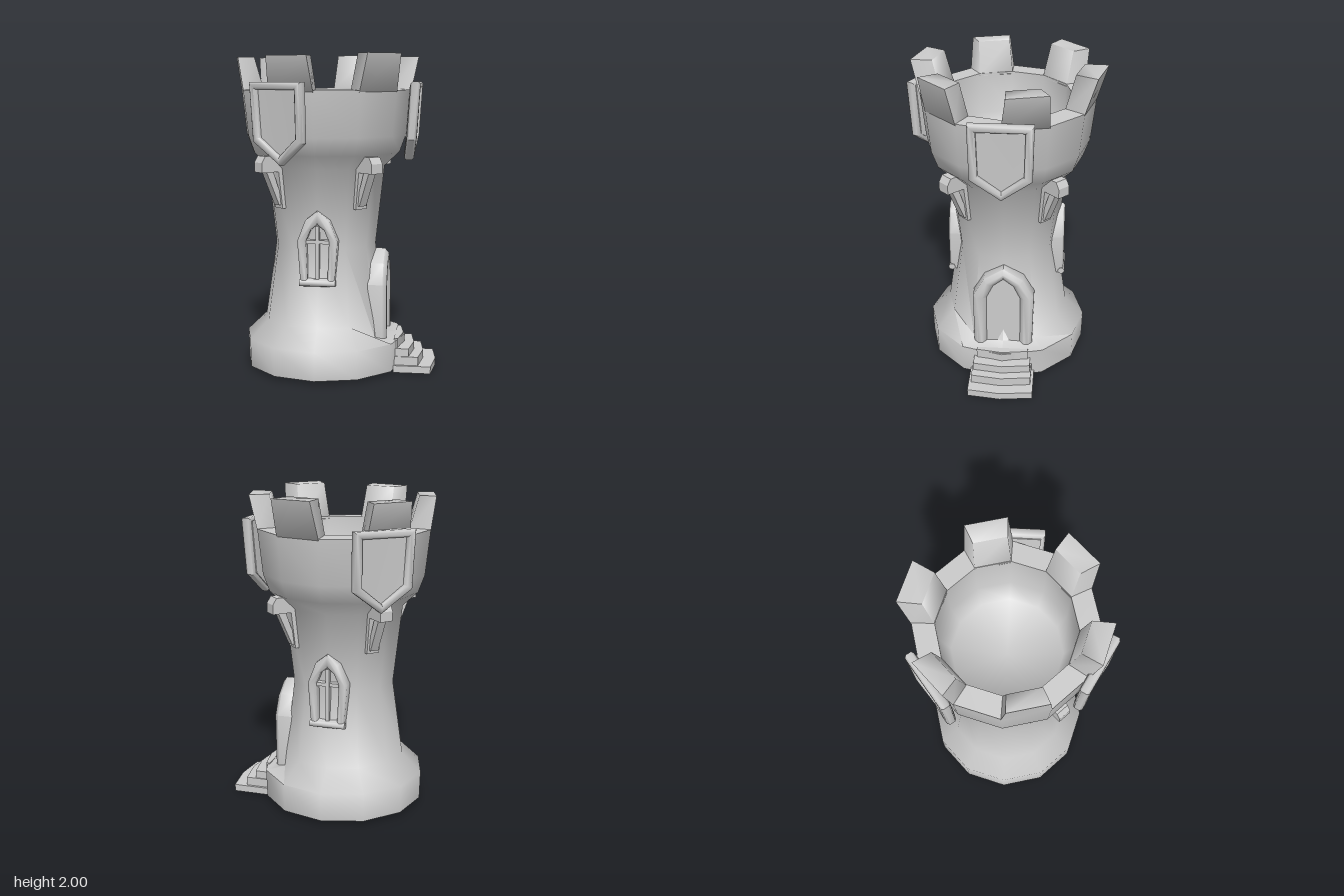
import * as THREE from 'three';
import { toCreasedNormals } from 'three/addons/utils/BufferGeometryUtils.js';

// Double sided because the tower shell is open underneath
const material = new THREE.MeshStandardMaterial({ color: 0xcccccc, side: THREE.DoubleSide });
const rad = THREE.MathUtils.degToRad;

function mesh(name, geometry, crease = 50) {
  const m = new THREE.Mesh(toCreasedNormals(geometry, rad(crease)), material);
  m.name = name;
  return m;
}

// Group whose local +z points outwards from the tower at the given angle
function around(name, degrees, ...parts) {
  const g = new THREE.Group();
  g.name = name;
  g.rotation.y = rad(degrees);
  g.add(...parts);
  return g;
}

// Closed symmetric outline from its right half, listed bottom to top
function symmetric(half) {
  const left = half.filter(([x]) => x > 0).map(([x, y]) => [-x, y]).reverse();
  return [...half, ...left].map(([x, y]) => new THREE.Vector2(x, y));
}

// Bevelled slab from depth z0 to z1, with an optional opening
function slab(outer, inner, z0, z1, bevel) {
  const shape = new THREE.Shape(symmetric(outer));
  if (inner) shape.holes.push(new THREE.Path(symmetric(inner)));
  const g = new THREE.ExtrudeGeometry(shape, {
    depth: z1 - z0 - 2 * bevel, bevelEnabled: bevel > 0, bevelSize: bevel,
    bevelThickness: bevel, bevelOffset: -bevel, bevelSegments: 1,
  });
  return g.translate(0, 0, z0 + bevel);
}

function box(w, h, d, x, y, z) {
  return new THREE.BoxGeometry(w, h, d).translate(x, y, z);
}

function moveVertices(geometry, rule) {
  const p = geometry.attributes.position;
  const v = new THREE.Vector3();
  for (let i = 0; i < p.count; i++) {
    rule(v.fromBufferAttribute(p, i));
    p.setXYZ(i, v.x, v.y, v.z);
  }
  return geometry;
}

// Twelve-sided tower shell, with its parapet rim and bowl-shaped top
function body() {
  const profile = [
    [0.515, 0.02], [0.52, 0.2], [0.395, 0.32], [0.325, 0.8],
    [0.38, 1.3], [0.475, 1.39], [0.515, 1.5], [0.545, 1.78],
    [0.41, 1.785], [0.4, 1.52], [0.34, 1.4], [0, 1.36],
  ].map(([r, y]) => new THREE.Vector2(r, y));
  const g = new THREE.LatheGeometry(profile, 12);
  // level the flare in front of the door
  moveVertices(g, (v) => {
    if (v.x > 0.33 && Math.abs(v.y - 0.32) < 0.01) v.y = 0.22;
  });
  return mesh('towerBody', g, 75);
}

// Tapered merlon: a box wrapped around the parapet
function merlon(degrees, top, reach) {
  const g = moveVertices(new THREE.BoxGeometry(1, 1, 1), (v) => {
    const high = v.y > 0;
    const a = rad(degrees + Math.sign(v.x) * (high ? 12.5 : 15.5));
    const r = v.z > 0 ? (high ? reach : 0.545) : (high ? 0.465 : 0.41);
    v.set(r * Math.sin(a), high ? top : 1.77, r * Math.cos(a));
  });
  return mesh('merlon', g, 80);
}

// Shield: plate and raised rim, lower part bent towards the wall
function shield(degrees, shiftX, shiftZ) {
  const place = (g) => moveVertices(g, (v) => {
    v.x += shiftX;
    v.z += shiftZ - 0.18 * Math.max(0, 1.6 - v.y);
  });
  const outer = [[0, 1.335], [0.185, 1.475], [0.192, 1.83]];
  const inner = [[0, 1.39], [0.135, 1.5], [0.142, 1.785]];
  const plate = [[0, 1.36], [0.16, 1.485], [0.167, 1.81]];
  return around('shield', degrees,
    mesh('shieldRim', place(slab(outer, inner, 0.55, 0.61, 0.012))),
    mesh('shieldPlate', place(slab(plate, null, 0.545, 0.58, 0))));
}

// Pointed window with mullion, crossbar and sill
function windowUnit(degrees) {
  const outer = [[0.105, 0.585], [0.125, 0.86], [0.075, 0.99], [0, 1.05]];
  const inner = [[0.062, 0.625], [0.072, 0.86], [0.042, 0.93], [0, 0.965]];
  const sill = new THREE.CylinderGeometry(0.022, 0.022, 0.225, 8);
  return around('window', degrees,
    mesh('windowFrame', slab(outer, inner, 0.27, 0.375, 0.012)),
    mesh('windowMullion', box(0.022, 0.35, 0.06, 0, 0.78, 0.335)),
    mesh('windowCrossbar', box(0.15, 0.022, 0.05, 0, 0.855, 0.335)),
    mesh('windowSill', sill.rotateZ(Math.PI / 2).translate(0, 0.6, 0.362)));
}

// Arched door with its frame, footed inside the base
function door(degrees) {
  const outer = [[0.185, 0.1], [0.195, 0.56], [0.125, 0.685], [0, 0.765]];
  const inner = [[0.108, 0.19], [0.108, 0.55], [0.065, 0.64], [0, 0.69]];
  const panel = [[0.14, 0.15], [0.14, 0.56], [0.09, 0.66], [0, 0.72]];
  return around('door', degrees,
    mesh('doorFrame', slab(outer, inner, 0.27, 0.412, 0.025)),
    mesh('doorPanel', slab(panel, null, 0.28, 0.385, 0)));
}

// Steps with slightly pointed fronts: [top, half width, reach]
function stairs(degrees) {
  const steps = [[0.21, 0.165, 0.51], [0.15, 0.182, 0.58], [0.1, 0.19, 0.64], [0.045, 0.207, 0.72]];
  return around('stairs', degrees, ...steps.map(([top, w, reach]) => {
    const plan = symmetric([[w, 0.46], [w, reach - 0.025], [0, reach]]);
    const g = new THREE.ExtrudeGeometry(new THREE.Shape(plan), { depth: top, bevelEnabled: false });
    return mesh('step', g.rotateX(Math.PI / 2).translate(0, top, 0), 20);
  }));
}

// Timber bracket: beam, strut and wall post drawn in side profile
function bracket(degrees) {
  const prism = (name, points, width) => {
    const shape = new THREE.Shape(points.map(([r, y]) => new THREE.Vector2(r, y)));
    const g = new THREE.ExtrudeGeometry(shape, { depth: width, bevelEnabled: false });
    return mesh(name, g.translate(0, 0, -width / 2).rotateY(-Math.PI / 2), 30);
  };
  return around('bracket', degrees,
    prism('bracketBeam', [[0.33, 1.28], [0.515, 1.28], [0.515, 1.34], [0.49, 1.38], [0.33, 1.38]], 0.085),
    prism('bracketStrut', [[0.345, 1.07], [0.38, 1.07], [0.475, 1.29], [0.425, 1.29]], 0.055),
    prism('bracketPost', [[0.31, 1.05], [0.365, 1.05], [0.395, 1.3], [0.32, 1.3]], 0.085));
}

export function createModel() {
  const model = new THREE.Group();
  model.name = 'watchtower';
  const tower = new THREE.Group();
  tower.name = 'tower';
  tower.position.set(-0.08, 0, -0.01);
  model.add(tower);

  tower.add(body(), door(90), stairs(90), windowUnit(0), windowUnit(180));
  // slightly uneven merlons: [top, reach]
  const merlons = [[2, 0.595], [1.985, 0.59], [2, 0.61], [1.985, 0.585], [1.98, 0.57], [1.985, 0.6]];
  merlons.forEach(([top, reach], i) => tower.add(merlon(45 + i * 60, top, reach)));
  for (let i = 0; i < 4; i++) tower.add(bracket(45 + i * 90));
  tower.add(shield(90, 0, 0), shield(-27, 0.05, -0.012), shield(-142, 0.024, -0.03));
  return model;
}
